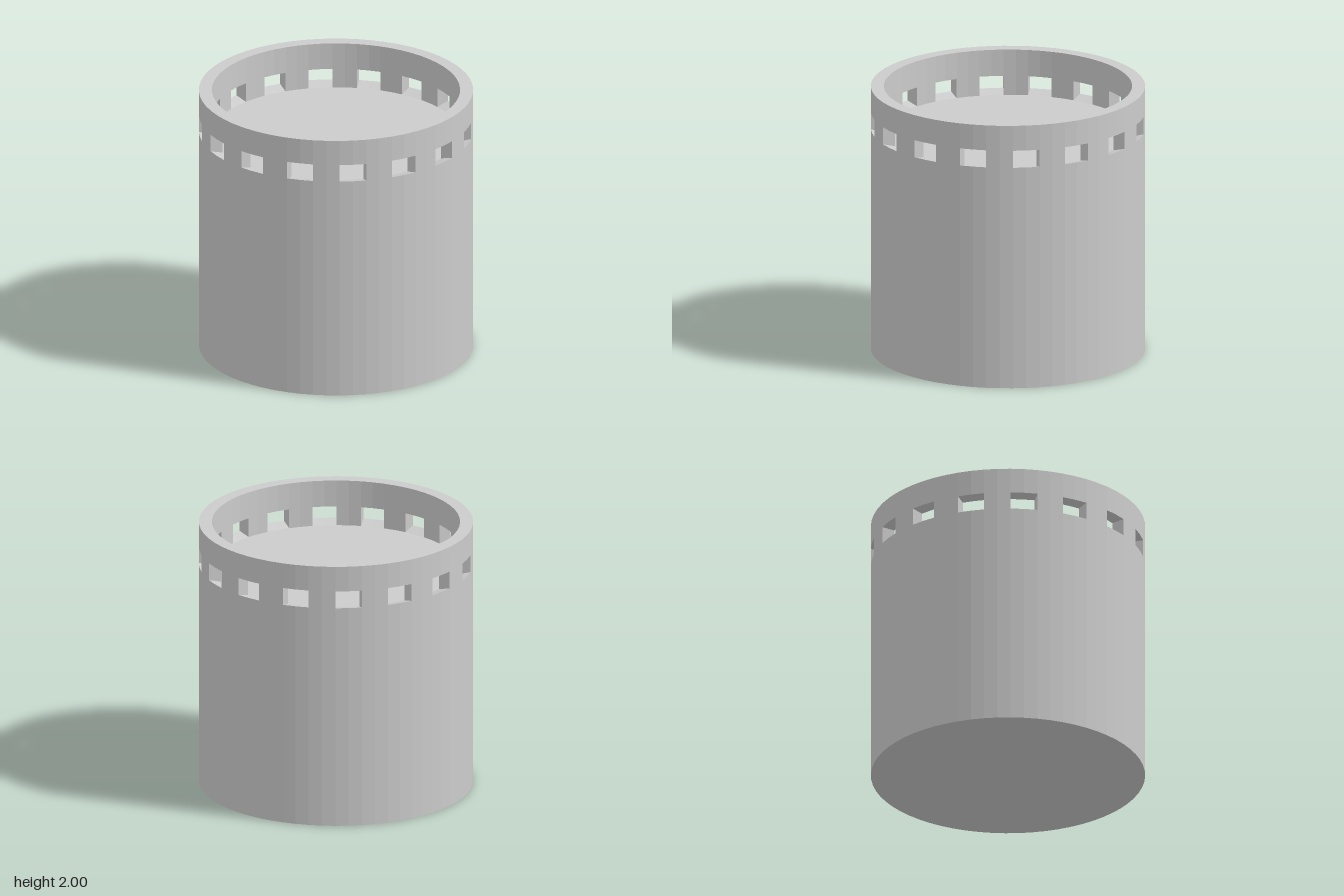
import * as THREE from 'three';

const SIDES = 64, WINDOWS = 16;
const STEP = (Math.PI * 2) / SIDES;
const OUTER = 1, INNER = 0.905, TOP = 2;
// The openings slope slightly down towards the inside, meeting the floor
const SILL_OUT = 1.68, FLOOR = 1.655, HEAD_OUT = 1.81, HEAD_IN = 1.8;

const points = (list) => list.map(([x, y]) => new THREE.Vector2(x, y));

export function createModel() {
  const group = new THREE.Group();
  const material = new THREE.MeshStandardMaterial({ color: 0xcccccc, flatShading: true });
  const thin = material.clone();
  thin.side = THREE.DoubleSide;

  const add = (name, geometry, parent = group, mat = material) => {
    const mesh = new THREE.Mesh(geometry, mat);
    mesh.name = name;
    parent.add(mesh);
    return mesh;
  };
  const lathe = (profile, segments = SIDES, start = 0, length = Math.PI * 2) =>
    new THREE.LatheGeometry(points(profile), segments, start, length);

  // Solid drum: base, side, sloping sills and recessed floor
  add('drum', lathe([[0, 0], [OUTER, 0], [OUTER, SILL_OUT], [INNER, FLOOR], [0, FLOOR]]));

  // Continuous ring above the windows
  add('rim', lathe([[INNER, HEAD_IN], [OUTER, HEAD_OUT], [OUTER, TOP], [INNER, TOP], [INNER, HEAD_IN]]));

  // Posts between the windows, each two facets wide with flat radial ends
  const section = new THREE.ShapeGeometry(new THREE.Shape(points([
    [INNER, FLOOR], [OUTER, SILL_OUT], [OUTER, HEAD_OUT], [INNER, HEAD_IN],
  ])));
  for (let i = 0; i < WINDOWS; i++) {
    const post = new THREE.Group();
    post.name = 'windowPost';
    const start = (i * 4 + 1) * STEP;
    add('postOuterFace', lathe([[OUTER, SILL_OUT], [OUTER, HEAD_OUT]], 2, start, 2 * STEP), post);
    add('postInnerFace', lathe([[INNER, HEAD_IN], [INNER, FLOOR]], 2, start, 2 * STEP), post);
    for (const angle of [start, start + 2 * STEP]) {
      add('windowJamb', section, post, thin).rotation.y = angle - Math.PI / 2;
    }
    group.add(post);
  }
  return group;
}
